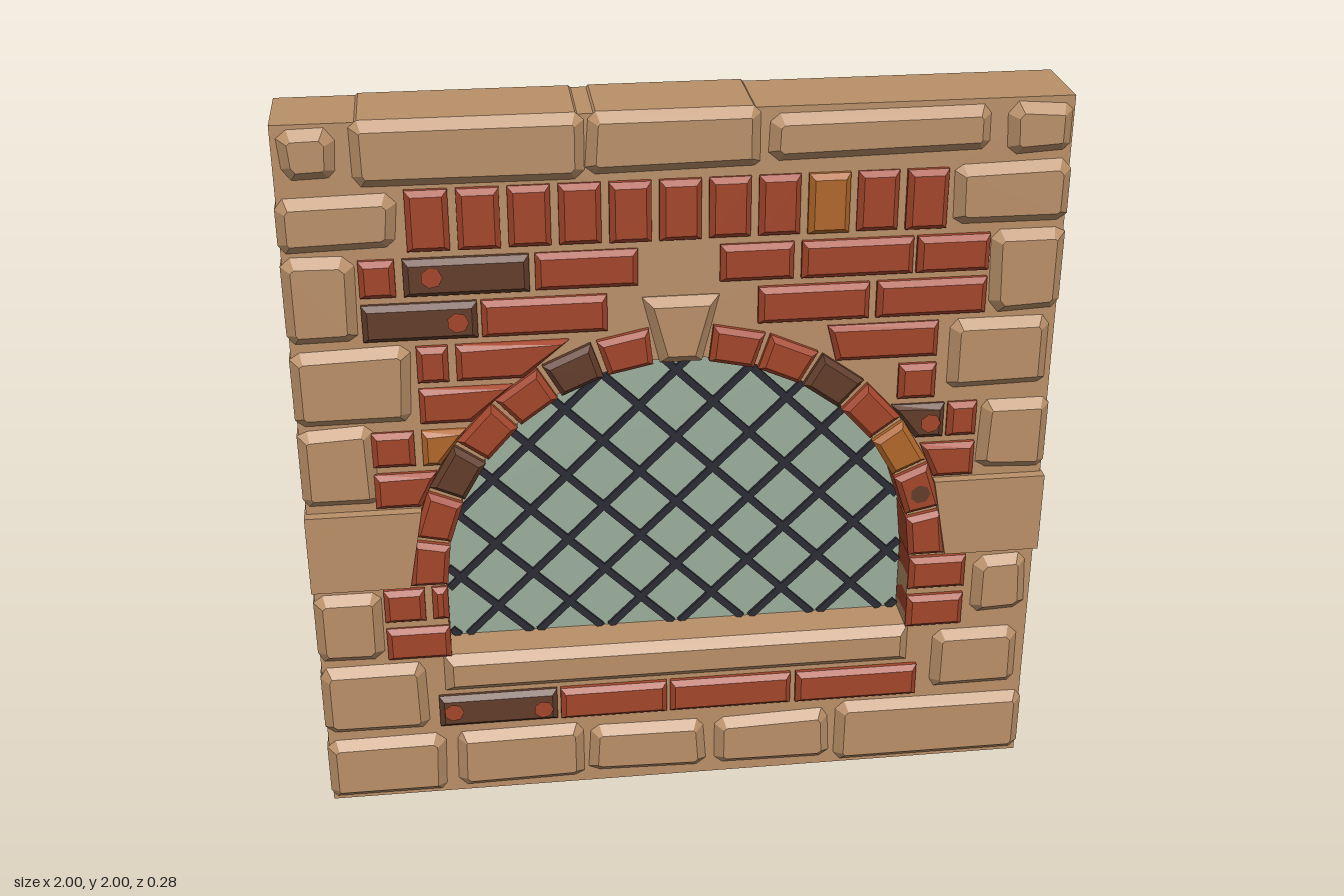
import * as THREE from 'three';

const mat = (name, color) => Object.assign(new THREE.MeshStandardMaterial({ color }), { name });
const R_IN = 0.635, R_OUT = 0.735, SPRING = 0.69, SILL = 0.46;

export function createModel() {
  const model = new THREE.Group();
  const stone = mat('sandstone', 0xb98f68);
  const red = mat('red brick', 0xa3452a);
  const dark = mat('dark brick', 0x613c2a);
  const amber = mat('amber brick', 0xb0662a);
  const glassMat = mat('pale green glass', 0x9aad9b);
  const lead = mat('dark lead', 0x2b2b34);

  let seed = 7;
  const rnd = () => ((seed = (seed * 16807) % 2147483647) / 2147483647 - 0.5);

  const add = (name, geometry, material, parent = model) => {
    const m = new THREE.Mesh(geometry, material);
    m.name = name;
    parent.add(m);
    return m;
  };
  const group = (name) => {
    const g = new THREE.Group();
    g.name = name;
    model.add(g);
    return g;
  };

  // Prism through the whole wall, with both faces chamfered
  const block = (pts, half, bevel) => {
    const shape = new THREE.Shape(pts.map(([x, y]) => new THREE.Vector2(x, y)));
    const g = new THREE.ExtrudeGeometry(shape, {
      depth: 2 * (half - bevel), bevelEnabled: bevel > 0, bevelThickness: bevel,
      bevelSize: bevel, bevelOffset: -bevel, bevelSegments: 1,
    });
    return g.translate(0, 0, -(half - bevel));
  };

  // Arched opening outline
  const archPath = (Type, r) => {
    const p = new Type();
    p.moveTo(-r, SILL);
    p.lineTo(r, SILL);
    p.lineTo(r, SPRING);
    p.absarc(0, SPRING, r, 0, Math.PI, false);
    p.lineTo(-r, SILL);
    return p;
  };

  // Mortar core with the window opening
  const wall = new THREE.Shape([[-0.995, 0], [0.995, 0], [0.995, 1.995], [-0.995, 1.995]]
    .map(([x, y]) => new THREE.Vector2(x, y)));
  wall.holes.push(archPath(THREE.Path, R_IN + 0.005));
  add('mortarCore', new THREE.ExtrudeGeometry(wall, { depth: 0.22, bevelEnabled: false, curveSegments: 28 })
    .translate(0, 0, -0.11), stone);

  // Rough stones: x0, x1, y0, y1
  const stones = group('stones');
  const cut = 0.022;
  [
    [-1, -0.67, 0.01, 0.2], [-0.64, -0.28, 0.02, 0.2], [-0.26, 0.07, 0.03, 0.19], [0.1, 0.43, 0.03, 0.19], [0.45, 1, 0.01, 0.21],
    [-1, -0.71, 0.23, 0.44], [0.72, 0.97, 0.25, 0.43],
    [-1, -0.82, 0.47, 0.68], [0.83, 0.98, 0.49, 0.67],
    [-1, -0.8, 0.95, 1.18], [0.81, 1, 0.95, 1.16],
    [-1, -0.7, 1.19, 1.4], [0.71, 0.98, 1.2, 1.4],
    [-1, -0.82, 1.42, 1.65], [0.81, 1, 1.42, 1.65],
    [-1, -0.71, 1.67, 1.81], [0.7, 1, 1.66, 1.83],
    [-0.98, -0.84, 1.86, 1.98], [-0.81, -0.24, 1.83, 2], [-0.235, 0.2, 1.84, 2], [0.22, 0.78, 1.86, 1.98], [0.83, 0.99, 1.85, 1.98],
  ].forEach(([x0, x1, y0, y1]) => {
    const pts = [
      [x0 + cut, y0], [x1 - cut, y0], [x1, y0 + cut], [x1, y1 - cut],
      [x1 - cut, y1], [x0 + cut, y1], [x0, y1 - cut], [x0, y0 + cut],
    ].map(([x, y]) => [
      Math.abs(x) > 0.98 ? x : x + rnd() * 0.012,
      y > 1.98 || y < 0.02 ? y : y + rnd() * 0.012,
    ]);
    add('stone', block(pts, 0.135, 0.025), stone, stones);
  });

  // Springer blocks, cut to the curve of the arch
  for (const s of [-1, 1]) {
    const pts = [[0.735, 0.7], [1, 0.7], [1, 0.93], [0.693, 0.93]].map(([x, y]) => [s * x, y]);
    add('springerBlock', block(s > 0 ? pts : pts.reverse(), 0.138, 0), stone, stones);
    // Raised panels on the wall ends
    for (const [y0, y1] of [[0.27, 0.42], [0.5, 0.65], [0.97, 1.14], [1.22, 1.37]]) {
      add('endPanel', new THREE.BoxGeometry(0.02, y1 - y0, 0.18).translate(s * 0.99, (y0 + y1) / 2, 0), stone, stones);
    }
  }

  // Bricks; corners that fall inside the arch ring slide out to its edge
  const bricks = group('bricks');
  const brick = (x0, x1, y0, y1, material = red) => {
    const pts = [[x0, y0], [x1, y0], [x1, y1], [x0, y1]].map(([x, y]) => {
      const dy = y - SPRING;
      const edge = dy > 0 && dy < R_OUT ? Math.sqrt(R_OUT * R_OUT - dy * dy) : 0;
      return [Math.sign(x) * Math.max(Math.abs(x), edge), y];
    });
    add('brick', block(pts, 0.133 + rnd() * 0.008, 0.014), material, bricks);
  };
  for (let i = 0; i < 11; i++) {
    const x = -0.685 + i * 0.126;
    brick(x, x + 0.106, 1.66, 1.82, i === 8 ? amber : red);
  }
  [
    { y: 1.54, row: [[-0.81, -0.72], [-0.7, -0.385, dark], [-0.37, -0.11], [0.1, 0.29], [0.31, 0.6], [0.61, 0.8]] },
    { y: 1.42, row: [[-0.81, -0.52, dark], [-0.51, -0.19], [0.2, 0.49], [0.51, 0.8]] },
    { y: 1.3, row: [[-0.68, -0.6], [-0.58, -0.29], [0.385, 0.68]] },
    { y: 1.18, row: [[-0.68, -0.39], [0.58, 0.68]] },
    { y: 1.06, row: [[-0.81, -0.7], [-0.68, -0.53, amber], [0.55, 0.71, dark], [0.72, 0.8]] },
    { y: 0.94, row: [[-0.81, -0.6], [0.65, 0.8]] },
    { y: 0.585, row: [[-0.81, -0.7], [-0.68, -0.637], [0.64, 0.8]] },
    { y: 0.46, row: [[-0.81, -0.637], [0.64, 0.8]] },
    { y: 0.23, row: [[-0.68, -0.35, dark], [-0.34, -0.04], [-0.03, 0.315], [0.33, 0.68]] },
  ].forEach(({ y, row }) => row.forEach(([x0, x1, m]) => brick(x0, x1, y, y + 0.1, m)));

  // Arch ring: seven wedge bricks each side, counted from the spring line
  const arch = group('archBricks');
  const left = [red, red, dark, red, red, dark, red];
  const right = [red, red, amber, red, dark, red, red];
  const polar = (r, deg) => {
    const a = THREE.MathUtils.degToRad(deg);
    return [r * Math.cos(a), SPRING + r * Math.sin(a)];
  };
  for (let i = 0; i < 7; i++) {
    for (const [start, material] of [[i * 12, right[i]], [168 - i * 12, left[i]]]) {
      const a0 = start + 0.6, a1 = start + 11.4;
      add('archBrick', block([polar(R_IN, a0), polar(R_OUT, a0), polar(R_OUT, a1), polar(R_IN, a1)], 0.137, 0.014), material, arch);
    }
  }
  add('keystone', block([[-0.055, 1.32], [0.055, 1.32], [0.1, 1.505], [-0.1, 1.505]], 0.138, 0.025), stone);

  // Worn patches on the dark bricks, both faces
  const patches = group('wornPatches');
  [[-0.63, 1.595, red], [-0.57, 1.47, red], [-0.64, 0.285, red], [-0.39, 0.275, red], [0.67, 1.11, red], [0.655, 0.895, dark]]
    .forEach(([x, y, m]) => {
      for (const s of [-1, 1]) {
        const p = add('wornPatch', new THREE.CircleGeometry(0.028, 7), m, patches);
        p.position.set(x, y, s * 0.1385);
        if (s < 0) p.rotation.y = Math.PI;
      }
    });

  // Window sill
  add('sill', block([[-0.66, 0.345], [0.65, 0.345], [0.65, 0.462], [-0.66, 0.462]], 0.136, 0.025), stone);

  // Glass pane
  add('glass', new THREE.ExtrudeGeometry(archPath(THREE.Shape, R_IN + 0.003), { depth: 0.016, bevelEnabled: false, curveSegments: 28 })
    .translate(0, 0, -0.008), glassMat);

  // Diagonal lead lattice, each bar trimmed to the opening
  const lattice = group('lattice');
  const inside = (x, y) => y > SILL && Math.abs(x) < R_IN && (y < SPRING || Math.hypot(x, y - SPRING) < R_IN);
  const d = Math.SQRT1_2;
  for (const s of [-1, 1]) {
    for (let k = -8; k <= 8; k++) {
      let t0 = null, t1 = null;
      const cy = 0.85 + k * 0.2;
      for (let t = -2; t <= 2; t += 0.005) {
        if (!inside(t * d, cy + s * t * d)) continue;
        if (t0 === null) t0 = t;
        t1 = t;
      }
      if (t0 === null || t1 - t0 < 0.03) continue;
      const bar = add('latticeBar', new THREE.BoxGeometry(t1 - t0, 0.02, 0.034), lead, lattice);
      const tm = (t0 + t1) / 2;
      bar.position.set(tm * d, cy + s * tm * d, 0);
      bar.rotation.z = s * Math.PI / 4;
    }
  }
  return model;
}
